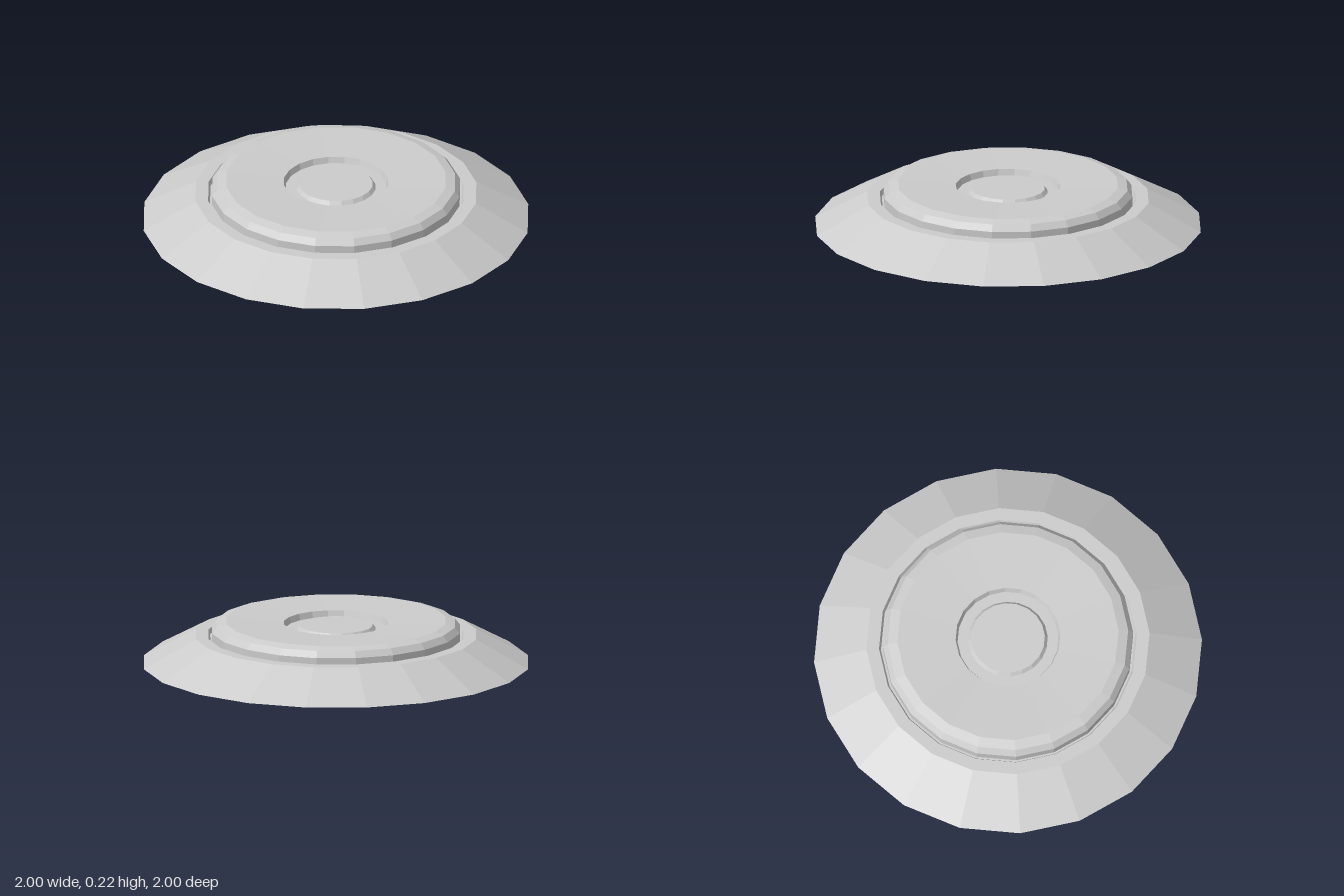
import * as THREE from 'three';

const SIDES = 20;

// Faceted ring or disc turned from a profile of [radius, height] points
function turned(name, profile, material) {
  const points = profile.map(([r, y]) => new THREE.Vector2(r, y));
  const mesh = new THREE.Mesh(new THREE.LatheGeometry(points, SIDES), material);
  mesh.name = name;
  return mesh;
}

export function createModel() {
  const group = new THREE.Group();
  group.name = 'roundPlate';
  const material = new THREE.MeshStandardMaterial({ color: 0xcccccc, flatShading: true });

  group.add(
    // Sloped skirt with closed underside, flat ledge and inner lip of the groove
    turned('base', [[0, 0], [1, 0], [0.73, 0.148], [0.665, 0.148], [0.655, 0.125]], material),
    // Narrow groove floor between base and plate
    turned('outerGroove', [[0.655, 0.125], [0.645, 0.125]], material),
    // Raised plate with bevelled rim, slightly dished top
    turned('plate', [[0.645, 0.125], [0.645, 0.176], [0.62, 0.208], [0.57, 0.222], [0.27, 0.21]], material),
    // Ring-shaped recess around the button
    turned('innerGroove', [[0.27, 0.21], [0.26, 0.178], [0.205, 0.178]], material),
    // Low central button
    turned('button', [[0.205, 0.178], [0.19, 0.198], [0, 0.198]], material),
  );
  return group;
}
